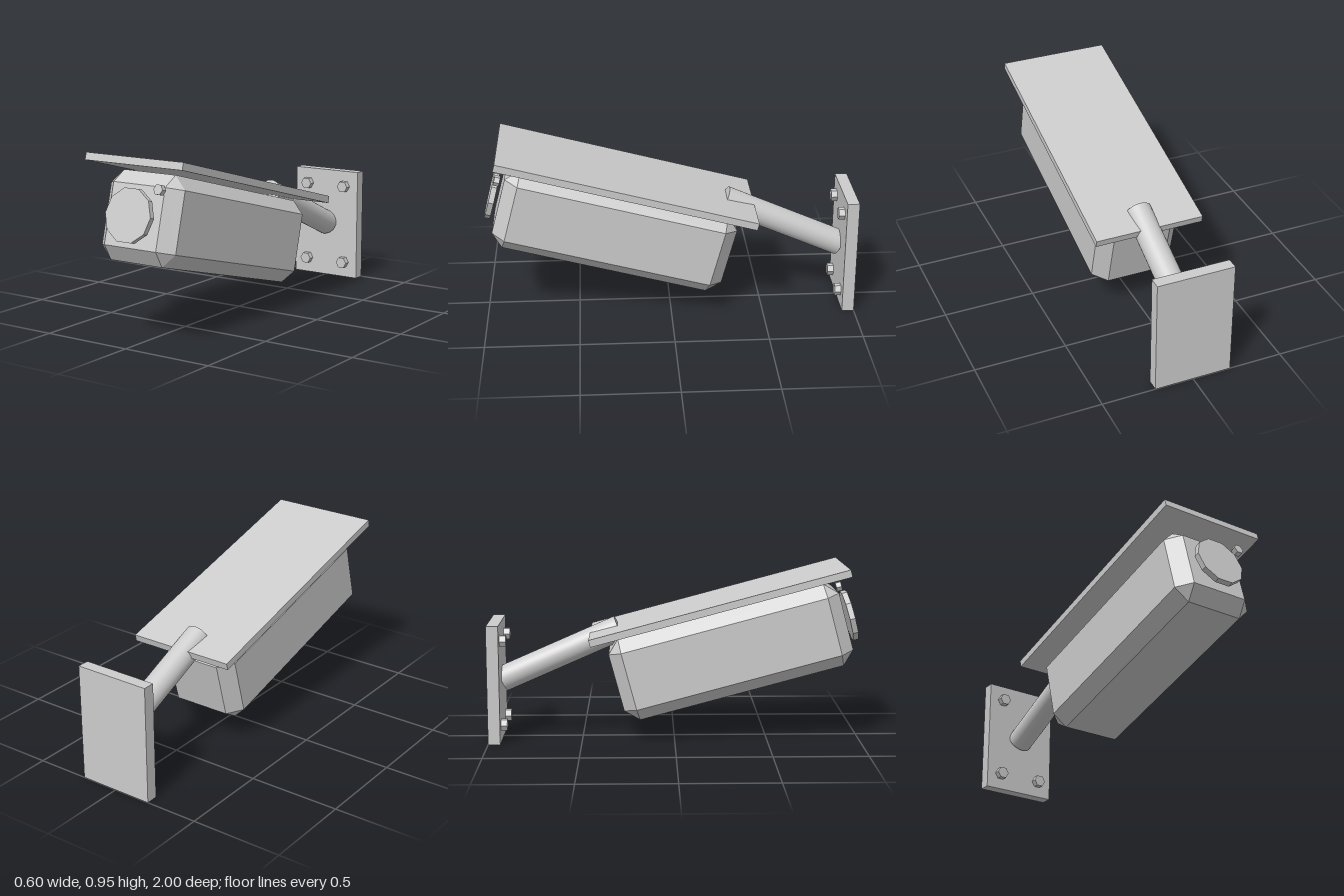
import * as THREE from 'three';
import { ConvexGeometry } from 'three/addons/geometries/ConvexGeometry.js';

export function createModel() {
  const model = new THREE.Group();
  model.name = 'securityCamera';
  const faceted = new THREE.MeshStandardMaterial({ color: 0xcccccc, flatShading: true });
  faceted.name = 'grey';
  const smooth = faceted.clone();
  smooth.flatShading = false;

  function add(parent, name, geometry, x, y, z, material = faceted) {
    const mesh = new THREE.Mesh(geometry, material);
    mesh.name = name;
    mesh.position.set(x, y, z);
    parent.add(mesh);
    return mesh;
  }

  // Flat-sided disc facing +z, with corners on the x axis
  function disc(radius, depth, sides) {
    return new THREE.CylinderGeometry(radius, radius, depth, sides, 1, false, Math.PI / 2)
      .rotateX(Math.PI / 2);
  }

  // Box with every edge chamfered and triangular corners
  function chamferedBox(w, h, d, c) {
    const points = [];
    for (const sx of [-1, 1]) for (const sy of [-1, 1]) for (const sz of [-1, 1]) {
      for (let axis = 0; axis < 3; axis++) {
        const half = [w / 2 - c, h / 2 - c, d / 2 - c];
        half[axis] += c;
        points.push(new THREE.Vector3(sx * half[0], sy * half[1], sz * half[2]));
      }
    }
    return new ConvexGeometry(points);
  }

  // Wall plate and its four bolts
  add(model, 'wallPlate', new THREE.BoxGeometry(0.42, 0.64, 0.065), 0, 0.32, -0.9675);
  for (const x of [-0.124, 0.124]) for (const y of [0.09, 0.55]) {
    add(model, 'wallBolt', disc(0.034, 0.035, 6), x, y, -0.919);
  }

  // Sloping arm from the plate up through the visor
  const from = new THREE.Vector3(0, 0.319, -0.935);
  const to = new THREE.Vector3(0, 0.598, -0.298);
  const along = to.clone().sub(from);
  const arm = add(model, 'arm', new THREE.CylinderGeometry(0.07, 0.07, along.length(), 32),
    0, (from.y + to.y) / 2, (from.z + to.z) / 2, smooth);
  arm.quaternion.setFromUnitVectors(new THREE.Vector3(0, 1, 0), along.normalize());

  // Camera head, front tipped up by 15 degrees
  const head = new THREE.Group();
  head.name = 'cameraHead';
  head.rotation.x = -Math.PI / 12;
  model.add(head);
  add(head, 'housing', chamferedBox(0.46, 0.457, 1.27, 0.07), 0, 0.394, 0.417);
  add(head, 'visor', new THREE.BoxGeometry(0.6, 0.039, 1.417), 0, 0.6585, 0.4185);
  add(head, 'lens', disc(0.14, 0.03, 10), 0, 0.394, 1.092);
  add(head, 'indicatorLight', disc(0.028, 0.03, 6), 0.158, 0.536, 1.09);

  return model;
}
